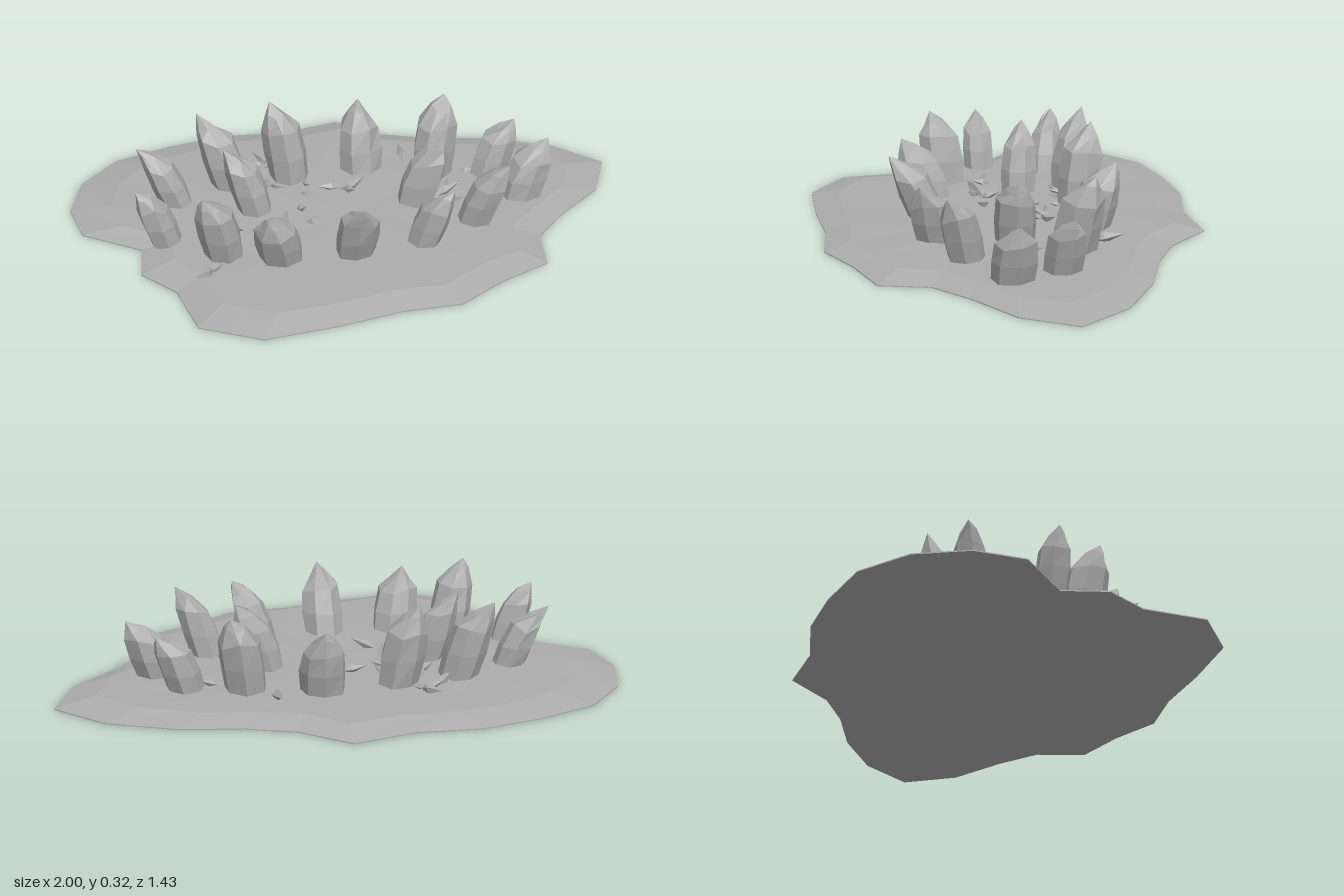
import * as THREE from 'three';

// Small seeded generator for the irregular facets
let seed = 7;
const rand = () => {
  seed = (seed * 16807) % 2147483647;
  return seed / 2147483647;
};
const vary = (amount) => 1 + (rand() - 0.5) * 2 * amount;

// Faceted skin over a stack of rings, bottom to top; a one-point ring closes an end
function loft(rings) {
  const out = [];
  for (let k = 0; k < rings.length - 1; k++) {
    const low = rings[k], up = rings[k + 1];
    const n = Math.max(low.length, up.length);
    for (let i = 0; i < n; i++) {
      const a = low[i % low.length], b = low[(i + 1) % low.length];
      const c = up[i % up.length], d = up[(i + 1) % up.length];
      if (low.length > 1) out.push(...b, ...a, ...c);
      if (up.length > 1) out.push(...b, ...c, ...d);
    }
  }
  const geo = new THREE.BufferGeometry();
  geo.setAttribute('position', new THREE.Float32BufferAttribute(out, 3));
  geo.computeVertexNormals();
  return geo;
}

// Shore line of the slab, x and z
const OUTLINE = [
  [0.06, -0.72], [0.22, -0.59], [0.39, -0.53], [0.61, -0.49], [0.84, -0.395],
  [1, -0.235], [0.92, -0.04], [0.75, 0.11], [0.635, 0.24], [0.615, 0.42],
  [0.43, 0.51], [0.27, 0.62], [0.06, 0.63], [-0.165, 0.68], [-0.415, 0.715],
  [-0.62, 0.61], [-0.67, 0.385], [-0.78, 0.255], [-0.765, 0.095], [-0.965, -0.04],
  [-1, -0.215], [-0.95, -0.4], [-0.81, -0.555], [-0.595, -0.635], [-0.385, -0.68],
  [-0.155, -0.67],
];

function slabGeometry() {
  const ring = (s, y, dy) => OUTLINE.map(([x, z]) => [x * s, y + (rand() - 0.5) * dy, z * s]);
  return loft([
    [[0, 0, 0]], ring(1, 0, 0), ring(1, 0.004, 0),
    ring(0.855, 0.029, 0.008), ring(0.5, 0.033, 0.003), [[0, 0.033, 0]],
  ]);
}

// Base x, z; tip x, y, z; radius
const CRYSTALS = [
  [-0.61, -0.17, -0.75, 0.245, -0.2, 0.063],
  [-0.675, 0.08, -0.775, 0.235, 0.095, 0.058],
  [-0.4, -0.26, -0.52, 0.31, -0.31, 0.073],
  [-0.34, -0.065, -0.45, 0.28, -0.08, 0.06],
  [-0.185, -0.28, -0.25, 0.325, -0.33, 0.076],
  [0.085, -0.31, 0.09, 0.27, -0.4, 0.078],
  [0.335, -0.235, 0.4, 0.31, -0.31, 0.08],
  [0.54, -0.19, 0.645, 0.23, -0.22, 0.065],
  [0.24, -0.045, 0.345, 0.265, -0.05, 0.076],
  [0.62, -0.025, 0.73, 0.235, -0.05, 0.077],
  [0.42, 0.125, 0.53, 0.27, 0.19, 0.064],
  [0.215, 0.235, 0.31, 0.245, 0.285, 0.065],
  [-0.035, 0.27, -0.03, 0.26, 0.405, 0.075],
  [-0.29, 0.26, -0.35, 0.235, 0.37, 0.078],
  [-0.48, 0.205, -0.56, 0.285, 0.27, 0.075],
];

// Leaning column with a faceted point
function crystalGeometry([bx, bz, tx, ty, tz, r]) {
  const sides = 7, turn = rand() * 6.28;
  const y0 = 0.02;
  const spread = Array.from({ length: sides }, () => vary(0.1));
  // height fraction, lean fraction, radius fraction
  const levels = [[0, 0, 0.95], [0.36, 0.22, 1.02], [0.68, 0.45, 0.92], [0.86, 0.72, 0.48]];
  const rings = levels.map(([h, lean, s], k) => spread.map((f, i) => {
    const a = turn + (i / sides) * Math.PI * 2;
    const rr = r * s * f * vary(0.05);
    const lift = k > 1 ? (rand() - 0.5) * 0.03 : 0;
    return [
      bx + (tx - bx) * lean + Math.cos(a) * rr,
      y0 + (ty - y0) * h + lift,
      bz + (tz - bz) * lean + Math.sin(a) * rr,
    ];
  }));
  return loft([[[bx, y0, bz]], ...rings, [[tx, ty, tz]]]);
}

// Small shards: x, z, heading in the ground plane, length
const SHARDS = [
  [-0.27, -0.4, -2.2, 0.1], [-0.29, -0.37, 2.9, 0.08], [-0.25, -0.37, -0.6, 0.08],
  [-0.34, -0.32, 2.4, 0.1], [-0.28, -0.23, 1.6, 0.1], [-0.3, -0.2, 2.6, 0.08],
  [-0.25, -0.2, 0.8, 0.07], [-0.14, -0.2, 1.2, 0.06], [-0.15, -0.13, 0.5, 0.05],
  [-0.05, -0.16, 3.1, 0.09], [0.0, -0.15, 2.1, 0.1], [0.03, -0.16, -0.5, 0.1],
  [0.01, -0.13, 1.1, 0.08], [-0.18, -0.03, 1.9, 0.1], [-0.15, 0.065, 0.4, 0.1],
  [-0.25, 0.05, -1.3, 0.09], [-0.29, 0.08, 2.6, 0.12], [-0.34, 0.1, 2.7, 0.11],
  [-0.27, 0.1, 0.6, 0.08], [-0.44, 0.08, 3.6, 0.1], [-0.42, 0.07, 1.2, 0.08],
  [-0.56, 0.34, 2.4, 0.11], [-0.53, 0.32, -0.6, 0.07], [0.25, -0.35, -1.6, 0.12],
  [0.46, -0.2, 0.3, 0.07], [0.35, -0.06, -0.3, 0.11], [0.37, 0.0, 0.7, 0.09],
  [0.36, -0.1, -1.1, 0.08],
];

function shardGeometry() {
  const ring = [0, 1, 2, 3].map((i) => {
    const a = (i * Math.PI) / 2;
    return [Math.cos(a) * 0.17, 0, Math.sin(a) * 0.17];
  });
  return loft([[[0, -0.4, 0]], ring, [[0, 0.6, 0]]]);
}

export function createModel() {
  const model = new THREE.Group();
  model.name = 'crystalField';
  const stone = new THREE.MeshStandardMaterial({ color: 0xacacac });
  stone.name = 'grey stone';

  const slab = new THREE.Mesh(slabGeometry(), stone);
  slab.name = 'groundSlab';
  model.add(slab);

  // Ring of large crystals
  const crystals = new THREE.Group();
  crystals.name = 'crystals';
  CRYSTALS.forEach((c, i) => {
    const mesh = new THREE.Mesh(crystalGeometry(c), stone);
    mesh.name = `crystal${i + 1}`;
    crystals.add(mesh);
  });
  model.add(crystals);

  // Scattered shards, lying almost flat
  const shards = new THREE.Group();
  shards.name = 'shards';
  const geo = shardGeometry();
  const up = new THREE.Vector3(0, 1, 0);
  SHARDS.forEach(([x, z, heading, len], i) => {
    const mesh = new THREE.Mesh(geo, stone);
    const dir = new THREE.Vector3(Math.cos(heading), 0.15 + rand() * 0.35, Math.sin(heading));
    mesh.quaternion.setFromUnitVectors(up, dir.normalize());
    mesh.position.set(x, 0.043, z);
    mesh.scale.setScalar(len);
    mesh.name = `shard${i + 1}`;
    shards.add(mesh);
  });
  model.add(shards);
  return model;
}
